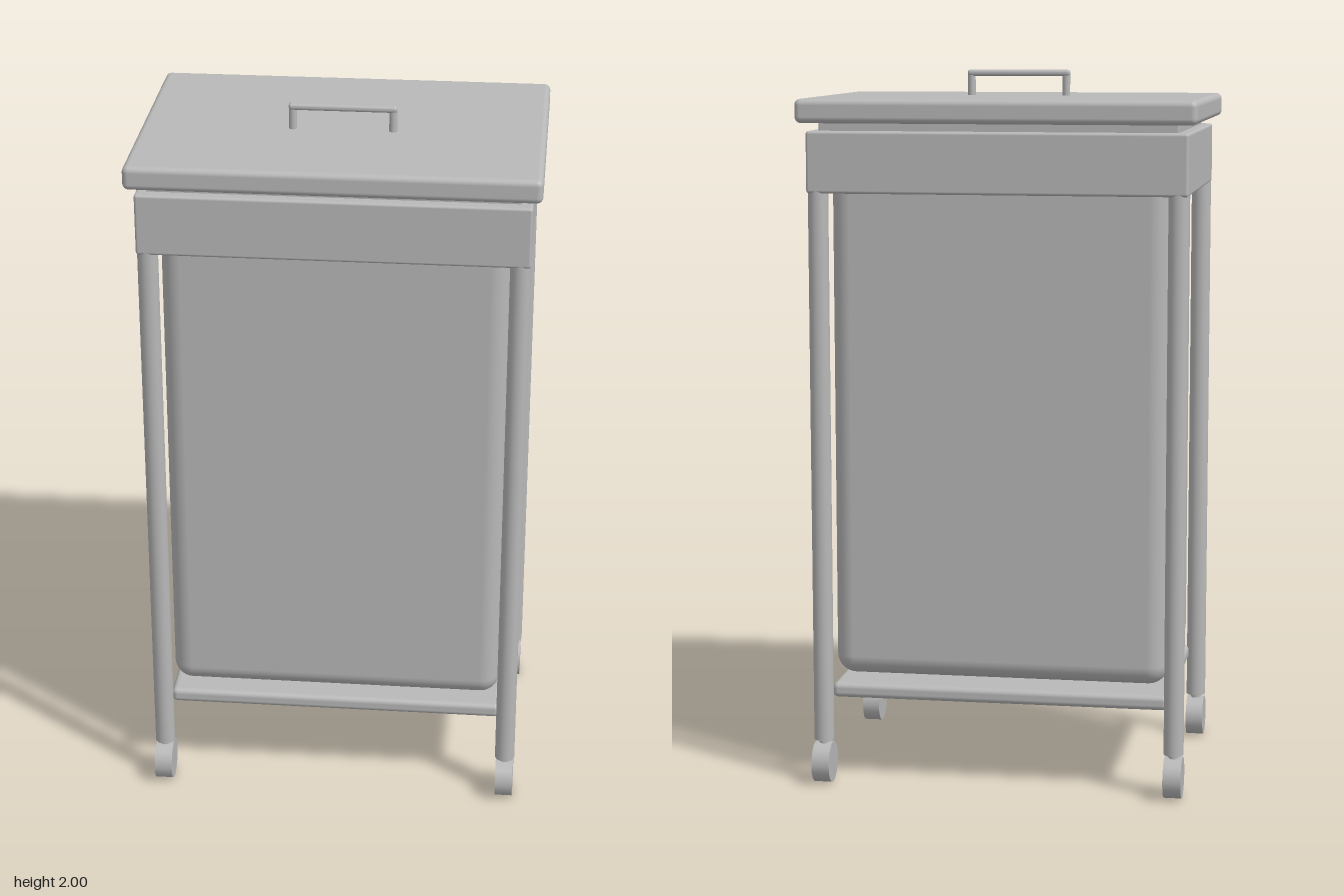
import * as THREE from 'three';
import { RoundedBoxGeometry } from 'three/addons/geometries/RoundedBoxGeometry.js';

export function createModel() {
  const group = new THREE.Group();
  group.name = 'laundryCart';
  const grey = new THREE.MeshStandardMaterial({ color: 0xb8b8b8 });
  grey.name = 'grey';

  const add = (name, geometry, x, y, z) => {
    const mesh = new THREE.Mesh(geometry, grey);
    mesh.name = name;
    mesh.position.set(x, y, z);
    group.add(mesh);
    return mesh;
  };
  // Rounded block given by half width, bottom, top and half depth
  const block = (name, hx, y0, y1, hz, radius) =>
    add(name, new RoundedBoxGeometry(hx * 2, y1 - y0, hz * 2, 4, radius), 0, (y0 + y1) / 2, 0);

  // Hamper body, folded collar, neck, lid and bottom shelf
  block('bag', 0.472, 0.305, 1.8, 0.308, 0.055);
  block('collar', 0.525, 1.67, 1.84, 0.361, 0.008);
  block('neck', 0.495, 1.8, 1.87, 0.33, 0.004);
  block('lid', 0.55, 1.862, 1.928, 0.39, 0.017);
  block('shelf', 0.477, 0.24, 0.282, 0.312, 0.015);

  // Four posts, each on a caster wheel
  for (const sx of [-1, 1]) {
    for (const sz of [-1, 1]) {
      const x = sx * 0.497, z = sz * 0.333;
      add('post', new THREE.CylinderGeometry(0.028, 0.028, 1.6, 24), x, 0.925, z);
      const wheel = add('wheel', new THREE.CylinderGeometry(0.058, 0.058, 0.05, 16), x, 0.059, z);
      wheel.rotation.z = Math.PI / 2;
      add('casterStem', new THREE.CylinderGeometry(0.015, 0.015, 0.06, 12), x, 0.105, z);
    }
  }

  // Lid handle: two legs under a slim bar
  for (const sx of [-1, 1]) {
    add('handleLeg', new THREE.CylinderGeometry(0.011, 0.011, 0.07, 16), sx * 0.136, 1.957, 0.05);
  }
  const bar = add('handleBar', new RoundedBoxGeometry(0.294, 0.018, 0.026, 3, 0.008), 0, 1.991, 0.05);
  bar.castShadow = false;
  return group;
}
